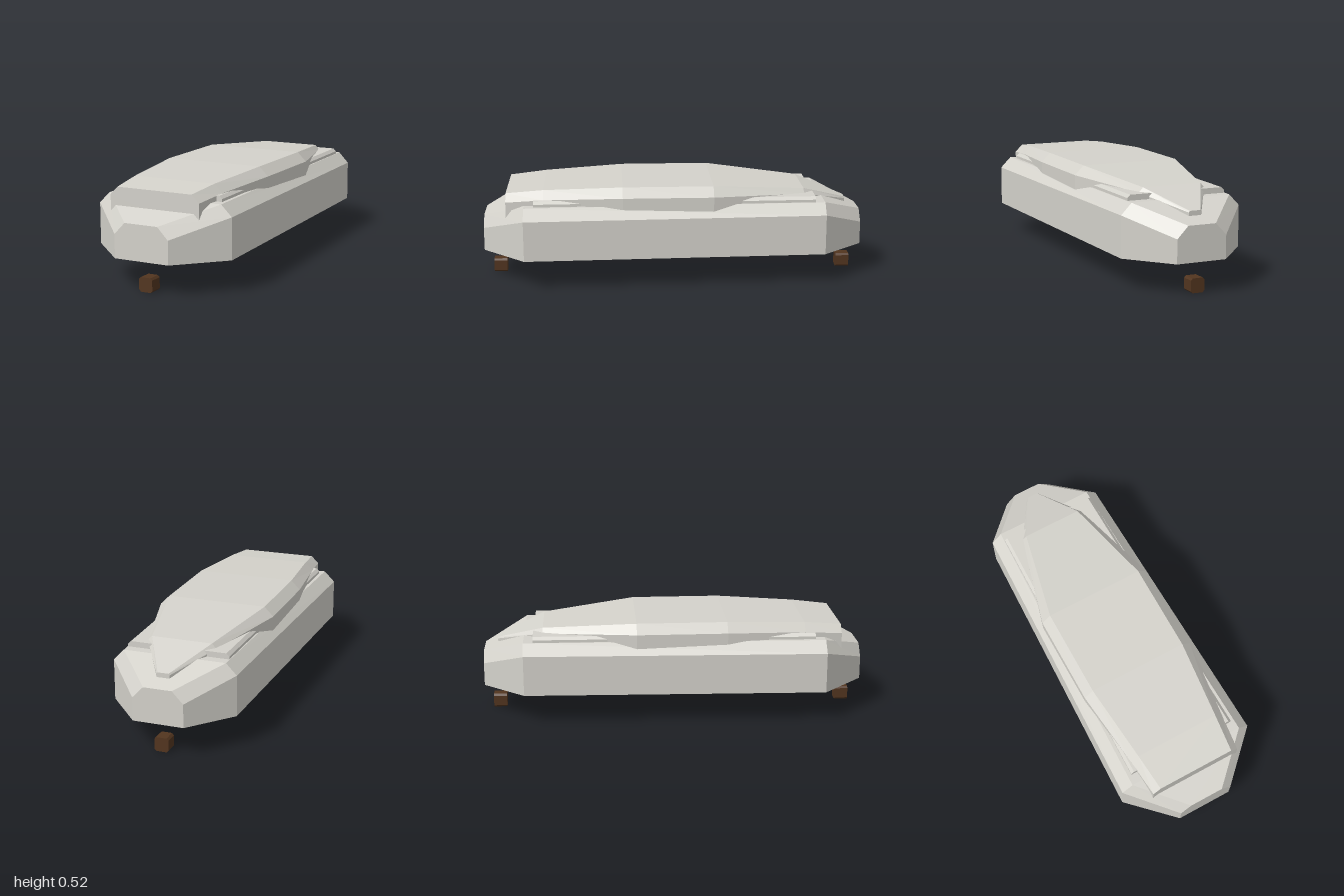
import * as THREE from 'three';

const paint = new THREE.MeshStandardMaterial({ color: 0xd4d2cb });
paint.name = 'palePaint';
const brown = new THREE.MeshStandardMaterial({ color: 0x52351f });
brown.name = 'darkBrown';

// Six-point section: straight sides, chamfered shoulders and a flat top
function section(z, bottom, side, sideY, top, topY) {
  return [
    [side, bottom, z], [side, sideY, z], [top, topY, z],
    [-top, topY, z], [-side, sideY, z], [-side, bottom, z],
  ];
}

// Faceted closed skin over sections ordered from front to back
function loft(rings) {
  const pos = [];
  const tri = (a, b, c) => pos.push(...a, ...b, ...c);
  const n = rings[0].length;
  for (let i = 0; i < rings.length - 1; i++) {
    for (let j = 0; j < n; j++) {
      const k = (j + 1) % n;
      const [a, b, c, d] = [rings[i][j], rings[i][k], rings[i + 1][k], rings[i + 1][j]];
      tri(a, d, b);
      tri(b, d, c);
    }
  }
  const first = rings[0], last = rings[rings.length - 1];
  for (let j = 1; j < n - 1; j++) {
    tri(first[0], first[j], first[j + 1]);
    tri(last[0], last[j + 1], last[j]);
  }
  const geo = new THREE.BufferGeometry();
  geo.setAttribute('position', new THREE.Float32BufferAttribute(pos, 3));
  geo.computeVertexNormals();
  return geo;
}

export function createModel() {
  const model = new THREE.Group();
  const add = (name, geo, mat) => {
    const mesh = new THREE.Mesh(geo, mat);
    mesh.name = name;
    model.add(mesh);
    return mesh;
  };

  // Main body with tapered ends
  add('body', loft([
    section(1, 0.16, 0.147, 0.28, 0.09, 0.34),
    section(0.78, 0.16, 0.37, 0.37, 0.313, 0.427),
    section(-0.785, 0.16, 0.32, 0.37, 0.265, 0.427),
    section(-1, 0.16, 0.13, 0.28, 0.073, 0.34),
  ]), paint);

  // Raised roof, tapering to a point at the rear; its skirt sinks into the body
  add('roof', loft([
    section(0.875, 0.3, 0.245, 0.442, 0.205, 0.482),
    section(0.68, 0.3, 0.265, 0.457, 0.224, 0.501),
    section(0.27, 0.3, 0.312, 0.472, 0.264, 0.52),
    section(-0.2, 0.3, 0.312, 0.472, 0.264, 0.52),
    section(-0.685, 0.3, 0.18, 0.452, 0.157, 0.477),
    section(-0.927, 0.3, 0.033, 0.386, 0.028, 0.394),
  ]), paint);

  // Thin deck showing beside the roof at both ends
  add('deck', loft([
    section(0.73, 0.4, 0.292, 0.441, 0.277, 0.456),
    section(-0.735, 0.4, 0.264, 0.441, 0.249, 0.456),
  ]), paint);

  // Chamfered blocks below the two ends
  const h = 0.0365, c = 0.0265;
  const outline = new THREE.Shape([
    [h, -c], [h, c], [c, h], [-c, h], [-h, c], [-h, -c], [-c, -h], [c, -h],
  ].map(([x, y]) => new THREE.Vector2(x, y)));
  const blockGeo = new THREE.ExtrudeGeometry(outline, { depth: 0.07, bevelEnabled: false });
  blockGeo.translate(0, 0, -0.035);
  for (const [name, z] of [['frontBlock', 0.928], ['rearBlock', -0.928]]) {
    add(name, blockGeo, brown).position.set(0, h, z);
  }

  return model;
}
